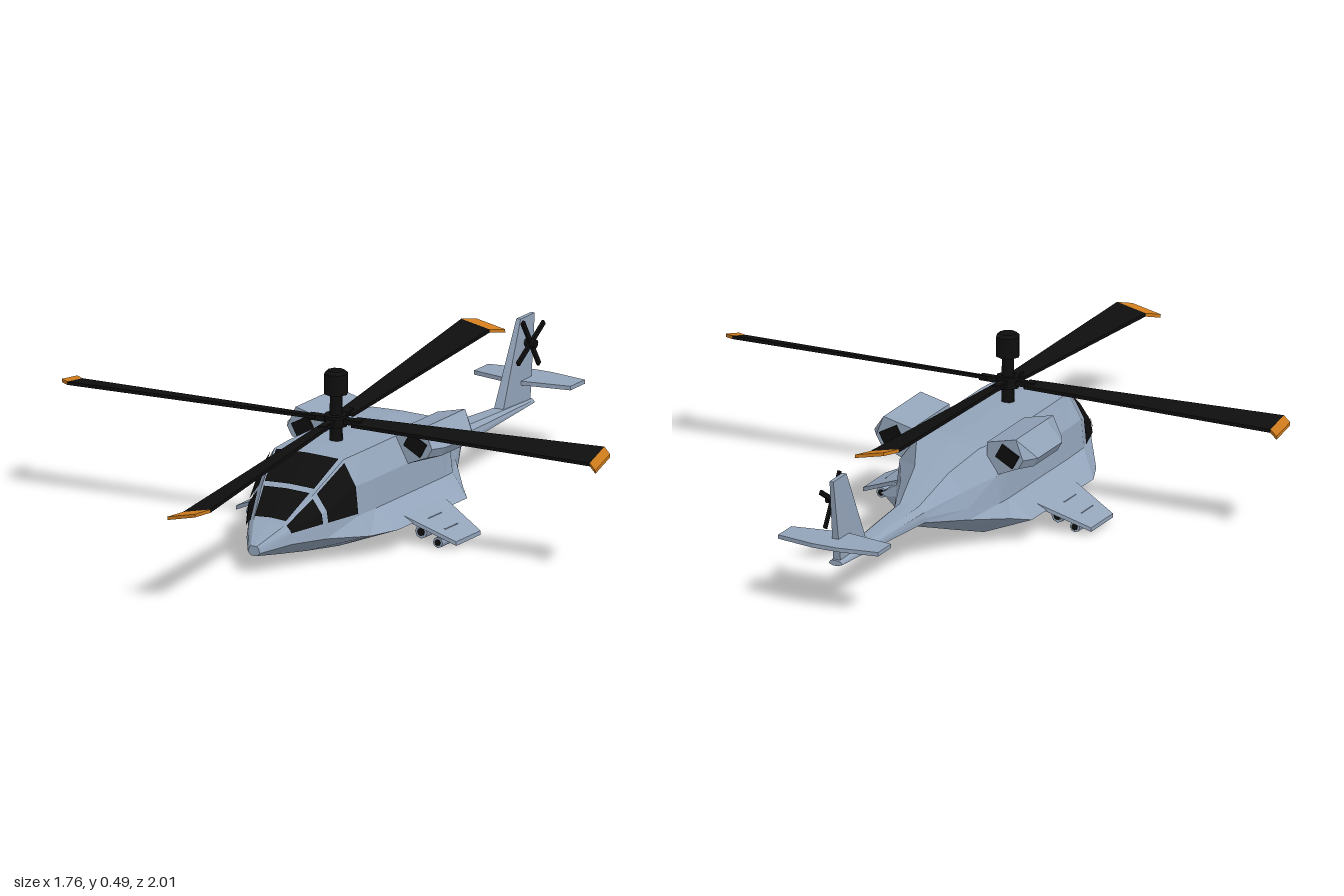
import * as THREE from 'three';
import { ConvexGeometry } from 'three/addons/geometries/ConvexGeometry.js';

const paint = (name, color) => Object.assign(new THREE.MeshStandardMaterial({ color }), { name });

// Fuselage half section at depth z: keel edge, chine, shoulder, cabin side, roof edge,
// closed by a slightly crowned keel and roof on the centre line
function section(z, ...edge) {
  const keel = edge[0], roof = edge[4];
  return [z, [[0, keel[1] - keel[0] * 0.08], ...edge, [0, roof[1] + roof[0] * 0.03]]];
}
const cabin = (z) => section(z, [0.12, 0.026], [0.243, 0.072], [0.168, 0.125], [0.16, 0.21], [0.12, 0.285]);
const SECTIONS = [
  section(0.585, [0.01, 0.057], [0.02, 0.066], [0.016, 0.078], [0.014, 0.081], [0.01, 0.085]),
  section(0.5, [0.03, 0.045], [0.075, 0.08], [0.07, 0.112], [0.066, 0.12], [0.052, 0.133]),
  section(0.4, [0.06, 0.034], [0.13, 0.08], [0.125, 0.123], [0.12, 0.155], [0.085, 0.203]),
  section(0.28, [0.1, 0.026], [0.205, 0.07], [0.165, 0.125], [0.157, 0.21], [0.115, 0.283]),
  cabin(0.19),
  cabin(-0.19),
  section(-0.24, [0.115, 0.03], [0.2, 0.085], [0.165, 0.125], [0.155, 0.205], [0.1, 0.28]),
  section(-0.34, [0.07, 0.062], [0.12, 0.1], [0.115, 0.132], [0.1, 0.18], [0.055, 0.232]),
  section(-0.48, [0.025, 0.11], [0.05, 0.125], [0.05, 0.14], [0.047, 0.155], [0.03, 0.17]),
  section(-0.935, [0.01, 0.135], [0.02, 0.139], [0.02, 0.142], [0.018, 0.146], [0.012, 0.15]),
];

// Skin between rings that run anticlockwise seen from the front, front ring first
function loft(rings) {
  const n = rings[0].length, idx = [];
  for (let i = 0; i < rings.length - 1; i++) {
    for (let j = 0; j < n; j++) {
      const a = i * n + j, b = i * n + (j + 1) % n, c = b + n, d = a + n;
      idx.push(a, d, c, a, c, b);
    }
  }
  const last = (rings.length - 1) * n;
  for (let j = 1; j < n - 1; j++) {
    idx.push(0, j, j + 1, last, last + j + 1, last + j);
  }
  return flat(rings.flat(2), idx);
}

function flat(positions, idx) {
  const g = new THREE.BufferGeometry();
  g.setAttribute('position', new THREE.Float32BufferAttribute(positions, 3));
  g.setIndex(idx);
  const out = g.toNonIndexed();
  out.computeVertexNormals();
  return out;
}

const hull = (pts) => new ConvexGeometry(pts.map((p) => new THREE.Vector3(...p)));

// Point on the fuselage at column k (fractional) and depth z, lifted slightly off the skin
function onSkin(z, k, lift) {
  let i = 0;
  while (i < SECTIONS.length - 2 && SECTIONS[i + 1][0] > z) i++;
  const [z0, p0] = SECTIONS[i], [z1, p1] = SECTIONS[i + 1];
  const t = (z0 - z) / (z0 - z1), j = Math.min(Math.floor(k), 5), f = k - j;
  const mix = THREE.MathUtils.lerp;
  const c = [0, 1].map((m) => mix(mix(p0[j][m], p0[j + 1][m], f), mix(p1[j][m], p1[j + 1][m], f), t));
  const dir = new THREE.Vector2(c[0], c[1] - 0.1).normalize().multiplyScalar(lift);
  return [c[0] + dir.x, c[1] + dir.y, z + lift * 0.6];
}

// Window pane following the skin
function pane(z0, z1, cols) {
  const pts = [], idx = [], rows = 4, n = cols.length;
  for (let r = 0; r <= rows; r++) {
    for (const k of cols) pts.push(...onSkin(z0 + (z1 - z0) * r / rows, k, 0.006));
  }
  for (let r = 0; r < rows; r++) {
    for (let j = 0; j < n - 1; j++) {
      const a = r * n + j, d = a + n;
      idx.push(a, d, d + 1, a, d + 1, a + 1);
    }
  }
  return flat(pts, idx);
}

export function createModel() {
  const grey = paint('blue grey paint', 0x93a4ba);
  const black = paint('black', 0x0e0e0e);
  const orange = paint('orange', 0xd07c1c);
  const model = new THREE.Group();
  model.name = 'helicopter';
  const add = (parent, name, geo, mat, pos = [0, 0, 0]) => {
    const m = new THREE.Mesh(geo, mat);
    m.name = name;
    m.position.set(...pos);
    parent.add(m);
    return m;
  };

  // Fuselage and tail boom
  const rings = SECTIONS.map(([z, half]) => [
    ...half.map(([x, y]) => [x, y, z]),
    ...half.slice(1, -1).reverse().map(([x, y]) => [-x, y, z]),
  ]);
  add(model, 'fuselage', loft(rings), grey);

  // Parts repeated on both sides
  const side = new THREE.Group();
  side.name = 'leftSide';
  add(side, 'upperWindscreen', pane(0.385, 0.285, [5.12, 5.5, 6]), black);
  add(side, 'lowerWindscreen', pane(0.49, 0.4, [5.15, 5.5, 6]), black);
  add(side, 'rearSideWindow', pane(0.392, 0.285, [3.08, 3.5, 4, 4.5, 4.88]), black);
  add(side, 'frontSideWindow', pane(0.5, 0.408, [3.1, 3.5, 4, 4.5, 4.85]), black);

  // Engine nacelle with intake and exhaust
  const nacelle = (z, x) => [[0.12, 0.23, z], [0.155, 0.207, z], [x - 0.015, 0.235, z],
    [x, 0.262, z], [0.212, 0.322, z], [0.12, 0.3, z]];
  add(side, 'engineNacelle', loft([nacelle(0, 0.24), nacelle(-0.04, 0.262),
    nacelle(-0.19, 0.262), nacelle(-0.23, 0.235)]), grey);
  for (const [name, z] of [['intake', 0.002], ['exhaust', -0.232]]) {
    add(side, name, new THREE.BoxGeometry(0.062, 0.045, 0.008), black, [0.186, 0.268, z]).rotation.z = -0.5;
  }

  // Stub wing
  const wing = [];
  for (const t of [0, 0.012]) {
    wing.push([0.18, 0.095 + t, 0.125], [0.18, 0.095 + t, -0.12], [0.28, 0.052 + t, 0.095],
      [0.365, 0.014 + t, 0.075], [0.365, 0.014 + t, -0.06]);
  }
  add(side, 'stubWing', hull(wing), grey);

  // Rocket pods with dark muzzles
  for (const [x, y, r] of [[0.255, 0.042, 0.02], [0.31, 0.018, 0.016]]) {
    add(side, 'rocketPod', new THREE.CylinderGeometry(r, r, 0.14, 8).rotateX(Math.PI / 2), grey, [x, y, 0.015]);
    add(side, 'podMuzzle', new THREE.CylinderGeometry(r * 0.6, r * 0.6, 0.146, 8).rotateX(Math.PI / 2), black, [x, y, 0.015]);
    add(side, 'pylon', new THREE.BoxGeometry(0.008, 0.03, 0.07), grey, [x, y + 0.018, 0.015]);
  }
  model.add(side);
  const other = side.clone();
  other.name = 'rightSide';
  other.scale.x = -1;
  model.add(other);

  // Tail fin and stabiliser
  const fin = [], stab = [];
  for (const s of [-1, 1]) {
    fin.push([s * 0.016, 0.145, -0.765], [s * 0.012, 0.14, -0.925],
      [s * 0.007, 0.397, -0.88], [s * 0.006, 0.397, -0.96]);
    for (const y of [0.204, 0.216]) {
      stab.push([0, y, -0.872], [s * 0.16, y, -0.9], [s * 0.16, y, -0.98], [s * 0.04, y, -1]);
    }
  }
  add(model, 'tailFin', hull(fin), grey);
  add(model, 'stabiliser', hull(stab), grey);

  // Tail rotor
  const tailRotor = new THREE.Group();
  tailRotor.name = 'tailRotor';
  tailRotor.position.set(0.024, 0.322, -0.908);
  add(tailRotor, 'tailHub', new THREE.CylinderGeometry(0.013, 0.013, 0.034, 8).rotateZ(Math.PI / 2), black);
  for (const a of [0.56, 0.56 + Math.PI / 2]) {
    add(tailRotor, 'tailBlade', new THREE.BoxGeometry(0.008, 0.17, 0.014), black).rotation.x = a;
  }
  model.add(tailRotor);

  // Mast and sensor drum
  add(model, 'mast', new THREE.CylinderGeometry(0.018, 0.02, 0.16, 8), black, [0, 0.355, 0.13]);
  add(model, 'sensorDrum', new THREE.CylinderGeometry(0.035, 0.035, 0.06, 8), black, [0, 0.455, 0.13]);
  add(model, 'drumTop', new THREE.CylinderGeometry(0.025, 0.035, 0.009, 8), black, [0, 0.4895, 0.13]);

  // Main rotor: pitched blades with swept coloured tips
  const rotor = new THREE.Group();
  rotor.name = 'mainRotor';
  rotor.position.set(0, 0.348, 0.13);
  rotor.rotation.x = 0.076;
  add(rotor, 'rotorHub', new THREE.CylinderGeometry(0.034, 0.034, 0.034, 8), black);
  const bladePart = (stations) => hull(stations.flatMap(([x, z0, z1]) =>
    [-0.005, 0.005].flatMap((t) => [[x, -z0 * 0.22 + t, z0], [x, -z1 * 0.22 + t, z1]])));
  const bladeGeo = bladePart([[0.06, -0.018, 0.022], [0.842, -0.05, 0.04]]);
  const tipGeo = bladePart([[0.842, -0.05, 0.04], [0.877, -0.018, 0.072]]);
  for (let i = 0; i < 4; i++) {
    const blade = new THREE.Group();
    blade.name = 'rotorBlade';
    blade.rotation.y = 0.042 + i * Math.PI / 2;
    add(blade, 'bladeArm', new THREE.BoxGeometry(0.08, 0.016, 0.022), black, [0.045, 0, 0]);
    add(blade, 'blade', bladeGeo, black);
    add(blade, 'bladeTip', tipGeo, orange);
    rotor.add(blade);
  }
  model.add(rotor);
  return model;
}
